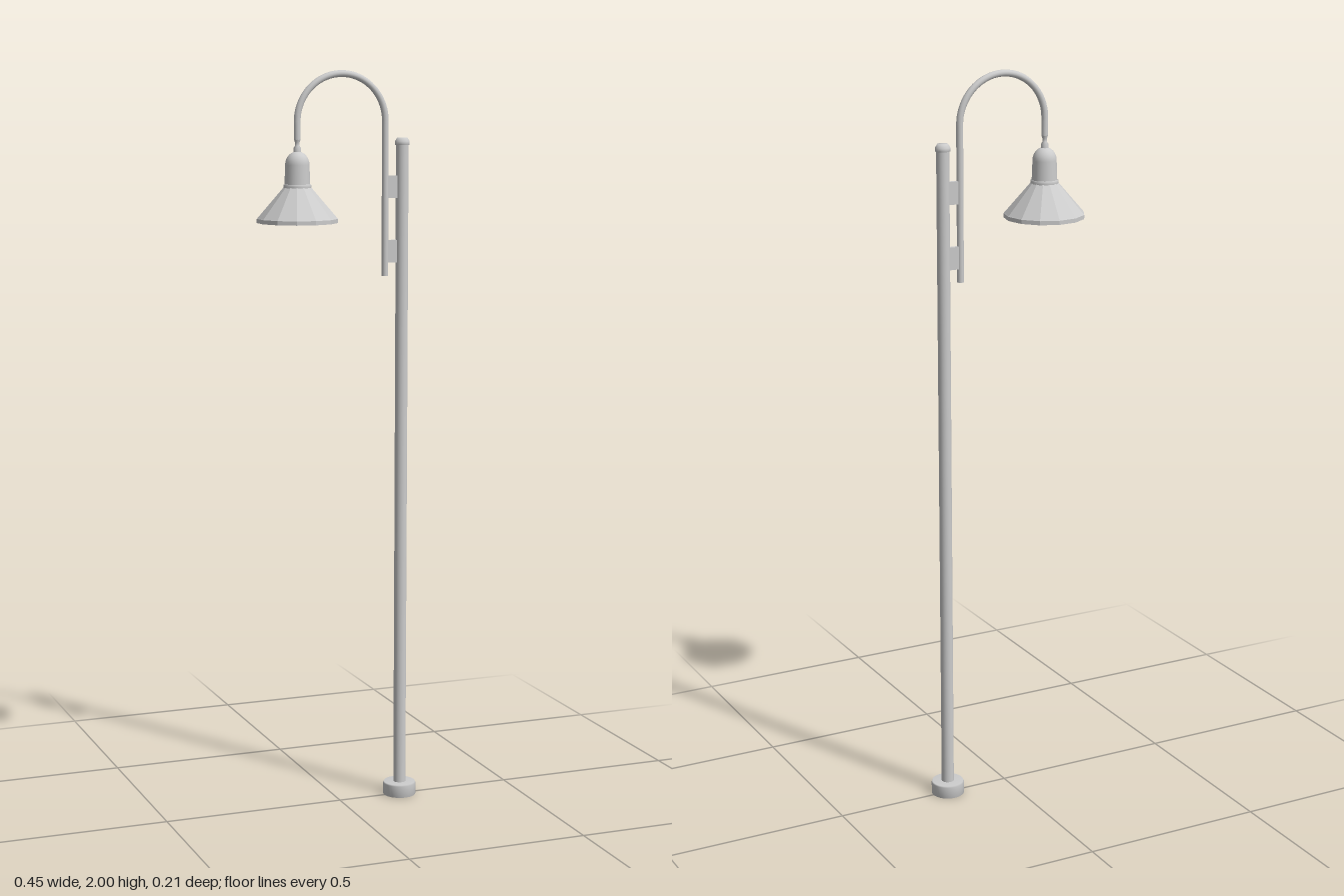
import * as THREE from 'three';

const POLE_X = 0.178, ARM_X = 0.129, LAMP_X = -0.12;

const smooth = new THREE.MeshStandardMaterial({ color: 0xcccccc, side: THREE.DoubleSide });
const faceted = new THREE.MeshStandardMaterial({ color: 0xcccccc, side: THREE.DoubleSide, flatShading: true });

export function createModel() {
  const model = new THREE.Group();
  model.name = 'streetLamp';

  const add = (name, geometry, x = 0, y = 0, z = 0, material = smooth) => {
    const mesh = new THREE.Mesh(geometry, material);
    mesh.name = name;
    mesh.position.set(x, y, z);
    model.add(mesh);
    return mesh;
  };
  const lathe = (points, sides, start = 0) =>
    new THREE.LatheGeometry(points.map(([r, y]) => new THREE.Vector2(r, y)), sides, start);

  // Hollow foot: outer wall, top plate and open underside
  add('base', lathe([[0.037, 0.022], [0.037, 0], [0.045, 0], [0.045, 0.032], [0.043, 0.036], [0, 0.036]], 32), POLE_X);

  // Post with chamfered cap
  add('pole', new THREE.CylinderGeometry(0.017, 0.017, 1.78, 24, 1, true), POLE_X, 0.92);
  add('poleCap', lathe([[0.017, 1.803], [0.02, 1.803], [0.02, 1.812], [0.014, 1.822], [0, 1.822]], 24), POLE_X);

  // Curved service hatch on the front of the post
  add('accessHatch', new THREE.CylinderGeometry(0.0182, 0.0182, 0.035, 8, 1, true, -0.58, 1.16), POLE_X, 0.16);

  // Brackets joining post and arm
  for (const y of [1.52, 1.692]) add('bracket', new THREE.BoxGeometry(0.04, 0.06, 0.011), 0.15, y);

  // Gooseneck arm: straight riser, half circle, short drop
  const radius = (ARM_X - LAMP_X) / 2, centreX = (ARM_X + LAMP_X) / 2, centreY = 1.991 - radius;
  const path = new THREE.CurvePath();
  path.add(new THREE.LineCurve3(new THREE.Vector3(ARM_X, 1.455, 0), new THREE.Vector3(ARM_X, centreY, 0)));
  const bend = [];
  for (let i = 0; i <= 24; i++) {
    const a = Math.PI * i / 24;
    bend.push(new THREE.Vector3(centreX + radius * Math.cos(a), centreY + radius * Math.sin(a), 0));
  }
  path.add(new THREE.CatmullRomCurve3(bend));
  path.add(new THREE.LineCurve3(bend[24], new THREE.Vector3(LAMP_X, 1.82, 0)));
  add('arm', new THREE.TubeGeometry(path, 90, 0.009, 12, false));
  add('armEnd', new THREE.CylinderGeometry(0.009, 0.009, 0.002, 12), ARM_X, 1.455);

  // Stem and lamp holder
  add('stem', lathe([[0.009, 1.822], [0.006, 1.812], [0.006, 1.804], [0.01, 1.798], [0.01, 1.78]], 16), LAMP_X);
  const dome = [[0, 1.79]];
  for (let i = 1; i <= 8; i++) {
    const a = Math.PI / 2 * i / 8;
    dome.push([0.032 * Math.sin(a), 1.755 + 0.035 * Math.cos(a)]);
  }
  add('lampHolder', lathe([...dome, [0.034, 1.7]], 26), LAMP_X);
  add('collar', lathe([[0.034, 1.704], [0.037, 1.702], [0.037, 1.692], [0.034, 1.69]], 26), LAMP_X);

  // Thirteen-sided conical shade with a short rim, open below
  add('shade', lathe([[0.035, 1.698], [0.106, 1.616], [0.108, 1.614], [0.108, 1.603], [0.104, 1.603],
    [0.104, 1.614], [0.034, 1.694]], 13, Math.PI / 2), LAMP_X, 0, 0, faceted);

  // Bulb inside the shade
  add('bulb', lathe([[0.028, 1.7], [0.033, 1.67], [0.033, 1.655], [0.028, 1.642], [0.016, 1.634], [0, 1.631]], 20), LAMP_X);

  return model;
}
